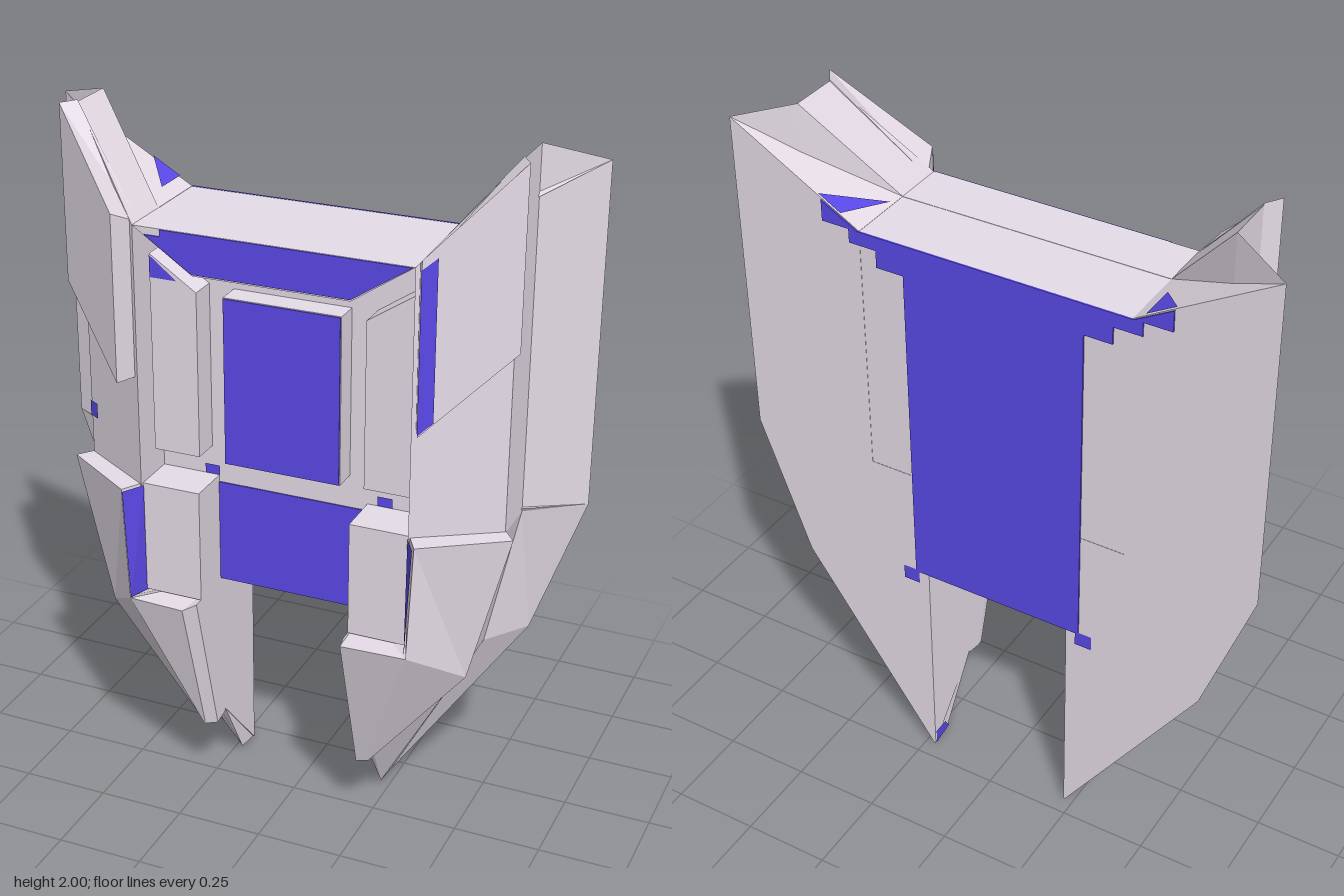
import * as THREE from 'three';

const grey = new THREE.MeshStandardMaterial({ color: 0xe8dfea, side: THREE.DoubleSide });
grey.name = 'paleGrey';
const blue = new THREE.MeshStandardMaterial({ color: 0x5c4aeb, side: THREE.DoubleSide });
blue.name = 'violetBlue';

// Flat-faced geometry from a list of triangles
function fromTriangles(tris) {
  const g = new THREE.BufferGeometry();
  g.setAttribute('position', new THREE.Float32BufferAttribute(tris.flat(2), 3));
  g.computeVertexNormals();
  return g;
}

// Solid through matching rings of points, with end caps, always turned outwards
function loft(rings, side = 1) {
  const R = rings.map(r => r.map(([x, y, z]) => [x * side, y, z]));
  const n = R[0].length, tris = [];
  for (let k = 0; k < R.length - 1; k++) {
    for (let i = 0; i < n; i++) {
      const j = (i + 1) % n;
      tris.push([R[k][i], R[k][j], R[k + 1][j]], [R[k][i], R[k + 1][j], R[k + 1][i]]);
    }
  }
  const last = R[R.length - 1];
  for (let i = 1; i < n - 1; i++) {
    tris.push([R[0][0], R[0][i + 1], R[0][i]], [last[0], last[i], last[i + 1]]);
  }
  let volume = 0;
  for (const [a, b, c] of tris) {
    volume += new THREE.Vector3(...a).dot(new THREE.Vector3(...b).cross(new THREE.Vector3(...c)));
  }
  return fromTriangles(volume < 0 ? tris.map(([a, b, c]) => [a, c, b]) : tris);
}

// Flat polygon given counter-clockwise for the +x side
function face(points, side = 1) {
  const p = points.map(([x, y, z]) => [x * side, y, z]);
  const tris = [];
  for (let i = 1; i < p.length - 1; i++) {
    tris.push(side > 0 ? [p[0], p[i], p[i + 1]] : [p[0], p[i + 1], p[i]]);
  }
  return fromTriangles(tris);
}

// Outline in x and y, extruded from z0 to z1
function plate(points, z0, z1) {
  const shape = new THREE.Shape(points.map(([x, y]) => new THREE.Vector2(x, y)));
  return new THREE.ExtrudeGeometry(shape, { depth: z1 - z0, bevelEnabled: false }).translate(0, 0, z0);
}

// Box from its bounds
function block(x0, x1, y0, y1, z0, z1) {
  return new THREE.BoxGeometry(x1 - x0, y1 - y0, z1 - z0)
    .translate((x0 + x1) / 2, (y0 + y1) / 2, (z0 + z1) / 2);
}

export function createModel() {
  const model = new THREE.Group();
  model.name = 'armouredHull';
  const add = (name, geometry, material, parent = model) => {
    const m = new THREE.Mesh(geometry, material);
    m.name = name;
    parent.add(m);
  };

  // Central body with a deep recess under a front rim
  add('core', block(-0.395, 0.395, 0.66, 1.729, -0.199, 0.01), grey);
  add('topRim', plate([[-0.39, 1.73], [-0.22, 1.615], [0.22, 1.615], [0.39, 1.73]], 0, 0.15), grey);
  add('topBezel', plate([[-0.31, 1.729], [-0.31, 1.71], [-0.355, 1.71], [-0.22, 1.62],
    [0.22, 1.62], [0.385, 1.729]], 0.149, 0.154), blue);
  add('centreBlock', block(-0.168, 0.168, 1.06, 1.54, 0, 0.08), grey);
  add('centrePanel', block(-0.166, 0.166, 1.062, 1.538, 0.079, 0.084), blue);
  add('waistPanel', block(-0.22, 0.22, 0.662, 0.965, 0.008, 0.014), blue);

  // Blue back panel with stepped upper corners
  const backHalf = [[0.26, 0.665], [0.26, 1.64], [0.34, 1.64], [0.34, 1.69], [0.42, 1.69],
    [0.42, 1.73], [0.5, 1.73], [0.5, 1.79], [0.395, 1.73]];
  const backOther = backHalf.map(([x, y]) => [-x, y]).reverse();
  add('backPanel', plate([...backHalf, ...backOther], -0.204, -0.199), blue);

  for (const side of [1, -1]) {
    const half = new THREE.Group();
    half.name = side > 0 ? 'leftHalf' : 'rightHalf';
    model.add(half);
    const part = (name, rings) => add(name, loft(rings, side), grey, half);
    const mark = (name, points) => add(name, face(points, side), blue, half);

    // Raised pad beside the centre block
    const pad = [[0.24, 1.07], [0.375, 1.07], [0.375, 1.635], [0.24, 1.545]];
    part('chestPad', [0, 0.09].map(z => pad.map(([x, y]) => [x, y, z])));

    // Upper side hull and the wedge-shaped plate behind it, joined by a fin
    part('sideHull', [
      [[0.39, 1.73, 0], [0.39, 1.73, 0.15], [0.61, 1.995, 0.015], [0.61, 1.995, -0.125]],
      [[0.39, 0.98, 0], [0.39, 0.98, 0.15], [0.61, 0.98, 0.015], [0.61, 0.98, -0.125]],
    ]);
    part('backPlate', [
      [[0.39, 1.73, 0], [0.61, 1.87, -0.125], [0.77, 1.95, -0.2], [0.39, 1.73, -0.2]],
      [[0.39, 0.98, 0], [0.61, 0.98, -0.125], [0.77, 1, -0.2], [0.39, 1, -0.2]],
    ]);
    add('topFin', face([[0.61, 1.86, -0.125], [0.77, 1.95, -0.2], [0.61, 1.995, -0.125]], side), grey, half);
    mark('backPlateMark', side > 0
      ? [[0.445, 1.766, -0.199], [0.395, 1.738, -0.05], [0.51, 1.804, -0.199]]
      : [[0.425, 1.755, -0.199], [0.425, 1.755, -0.09], [0.505, 1.801, -0.199]]);

    // Upper armour with its pointed top
    part('shoulderArmour', [
      [[0.39, 1.73, 0.12], [0.425, 1.77, 0.2], [0.64, 2, 0.06], [0.61, 2, 0.015]],
      [[0.395, 1.3, 0.13], [0.425, 1.3, 0.2], [0.64, 1.51, 0.06], [0.61, 1.5, 0.015]],
    ]);

    // Tapering leg
    part('leg', [
      [[0.22, 0.98, 0], [0.61, 0.98, 0.015], [0.61, 0.98, -0.125], [0.77, 1, -0.2], [0.22, 1, -0.2]],
      [[0.22, 0.6, 0], [0.52, 0.56, 0.015], [0.52, 0.56, -0.125], [0.625, 0.59, -0.2], [0.22, 0.6, -0.2]],
      [[0.22, 0.22, 0], [0.24, 0.22, 0], [0.225, 0.01, -0.125], [0.225, 0, -0.2], [0.22, 0, -0.2]],
    ]);
    mark('backCornerMark', [[0.25, 0.625, -0.203], [0.25, 0.67, -0.203], [0.3, 0.67, -0.203], [0.3, 0.625, -0.203]]);

    // Hip armour, its blue inner edge and the block beside the waist
    part('hipArmour', [
      [[0.38, 0.985, 0], [0.39, 0.985, 0.14], [0.425, 0.985, 0.2], [0.645, 0.985, 0.055], [0.61, 0.985, 0.01]],
      [[0.38, 0.65, 0], [0.39, 0.65, 0.14], [0.41, 0.65, 0.2], [0.535, 0.55, 0.065], [0.515, 0.55, 0.01]],
    ]);
    mark('hipEdge', [[0.406, 0.655, 0.204], [0.421, 0.98, 0.204], [0.386, 0.98, 0.144], [0.386, 0.655, 0.144]]);
    part('hipBlock', [0.655, 0.985].map(y => [[0.22, y, 0], [0.22, y, 0.14], [0.39, y, 0.14], [0.39, y, 0]]));
    const nub = side > 0 ? 0.25 : 0.217;
    mark('nubMark', [[nub, 0.987, 0.014], [nub + 0.043, 0.987, 0.014], [nub + 0.043, 1.015, 0.014], [nub, 1.015, 0.014]]);

    // Lower armour running down to a point, chamfered inside on the right only
    const inner = side > 0 ? 0.222 : 0.25;
    part('shinArmour', [
      [[0.22, 0.655, 0], [0.22, 0.655, 0.17], [inner, 0.645, 0.2], [0.41, 0.65, 0.2], [0.535, 0.55, 0.065], [0.515, 0.55, 0.01]],
      [[0.22, 0.21, 0], [0.22, 0.2, 0.05], [inner, 0.2, 0.07], [inner + 0.004, 0.2, 0.07], [0.257, 0.205, 0.065], [0.25, 0.21, 0.01]],
    ]);
  }

  // Blue marks found on one side only
  add('shoulderStripe', face([[0.425, 1.305, 0.203], [0.46, 1.338, 0.181], [0.46, 1.775, 0.181], [0.425, 1.745, 0.203]]), blue);
  add('padCornerMark', face([[-0.374, 1.57, 0.093], [-0.295, 1.57, 0.093], [-0.374, 1.632, 0.093]]), blue);
  add('sideHullMark', face([[-0.612, 1.1, 0.018], [-0.58, 1.1, 0.038], [-0.58, 1.145, 0.038], [-0.612, 1.145, 0.018]]), blue);
  add('legTipMark', face([[0.217, 0.005, -0.198], [0.217, 0.02, -0.13], [0.217, 0.05, -0.15], [0.217, 0.05, -0.198]]), blue);
  return model;
}
